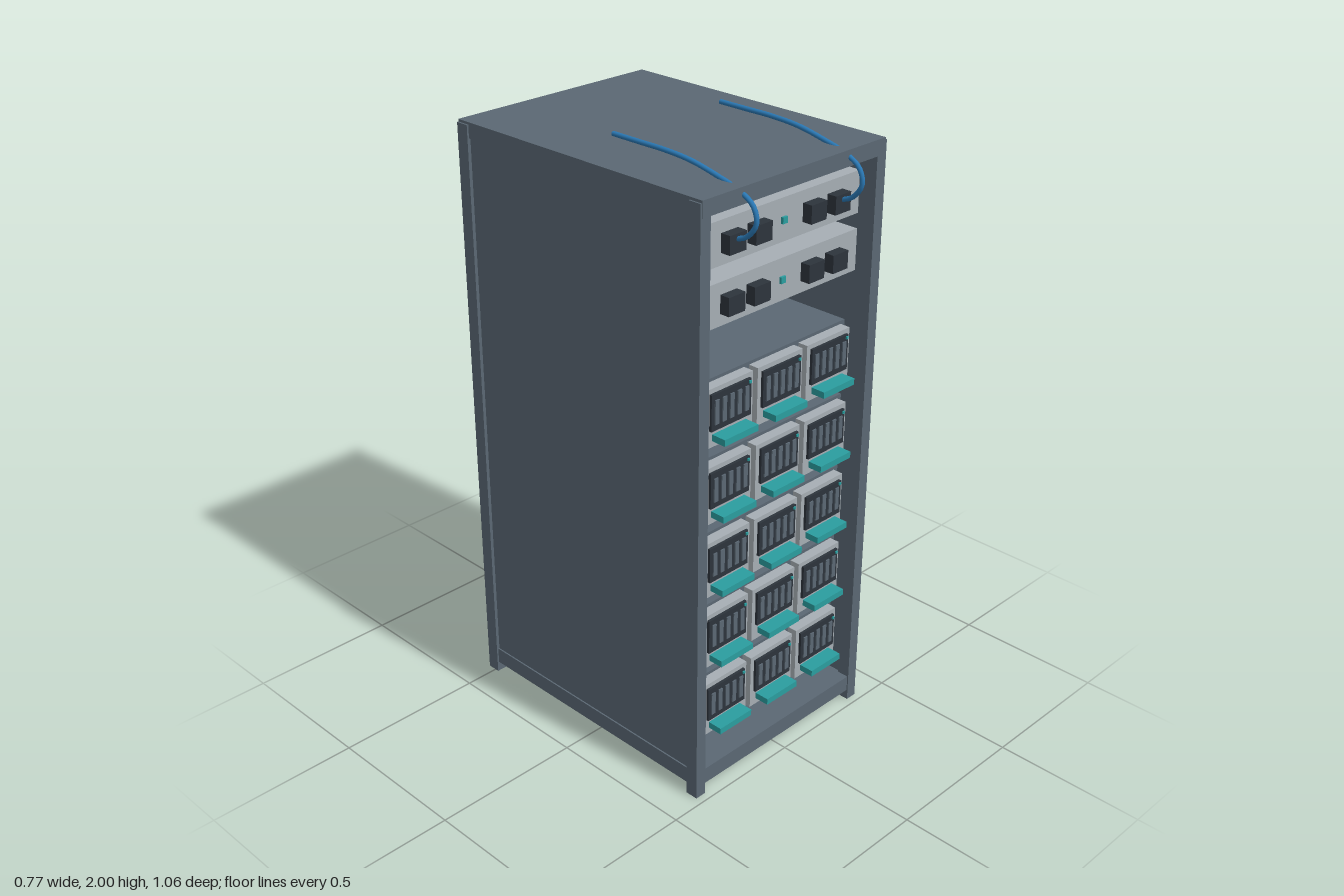
import * as THREE from 'three';

const mat = (name, color) => {
  const m = new THREE.MeshStandardMaterial({ color });
  m.name = name;
  return m;
};

export function createModel() {
  const slate = mat('slate metal', 0x5a6773);
  const light = mat('light grey metal', 0xa6aeb4);
  const dark = mat('dark plastic', 0x2d343c);
  const teal = mat('teal', 0x2a9d9f);
  const blue = mat('blue cable', 0x2a78b4);

  const model = new THREE.Group();
  model.name = 'equipmentRack';

  // Box given by its lower and upper limits on each axis
  const box = (parent, name, material, [x0, x1], [y0, y1], [z0, z1]) => {
    const mesh = new THREE.Mesh(new THREE.BoxGeometry(x1 - x0, y1 - y0, z1 - z0), material);
    mesh.position.set((x0 + x1) / 2, (y0 + y1) / 2, (z0 + z1) / 2);
    mesh.name = name;
    parent.add(mesh);
  };
  const group = (name, parent = model) => {
    const g = new THREE.Group();
    g.name = name;
    parent.add(g);
    return g;
  };
  const mirrored = (s, a, b) => (s > 0 ? [a, b] : [-b, -a]);

  // Cabinet shell
  const cabinet = group('cabinet');
  box(cabinet, 'topPanel', slate, [-0.378, 0.378], [1.91, 1.96], [-0.532, 0.475]);
  box(cabinet, 'basePanel', slate, [-0.37, 0.37], [0.035, 0.09], [-0.525, 0.47]);
  box(cabinet, 'backPanel', slate, [-0.345, 0.345], [0.09, 1.91], [-0.52, -0.5]);
  for (const s of [-1, 1]) {
    box(cabinet, 'sidePanel', slate, mirrored(s, 0.352, 0.373), [0.09, 1.91], [-0.49, 0.435]);
    box(cabinet, 'sideRail', slate, mirrored(s, 0.352, 0.378), [0.035, 0.09], [-0.49, 0.435]);
    for (const [z0, z1] of [[0.43, 0.474], [-0.531, -0.486]]) {
      box(cabinet, 'cornerPost', slate, mirrored(s, 0.345, 0.384), [0, 1.952], [z0, z1]);
    }
    for (const [z0, z1] of [[0.33, 0.415], [-0.465, -0.38]]) {
      box(cabinet, 'foot', dark, mirrored(s, 0.265, 0.35), [0.005, 0.036], [z0, z1]);
    }
  }

  // One module with vents, pull bar and status light
  const addModule = (parent, x, y) => {
    const m = group('module', parent);
    m.position.set(x, y, 0);
    box(m, 'moduleCase', light, [-0.097, 0.097], [0.01, 0.196], [-0.1, 0.43]);
    box(m, 'modulePanel', dark, [-0.082, 0.082], [0.065, 0.181], [0.43, 0.439]);
    for (let i = -2; i <= 2; i++) {
      box(m, 'vent', slate, [i * 0.031 - 0.008, i * 0.031 + 0.008], [0.085, 0.162], [0.439, 0.443]);
    }
    box(m, 'pullBar', teal, [-0.07, 0.07], [0.03, 0.051], [0.43, 0.48]);
    box(m, 'statusLight', teal, [0.07, 0.078], [0.168, 0.176], [0.439, 0.444]);
  };

  // Five trays, each carrying three modules
  for (let row = 0; row < 5; row++) {
    const y = 0.167 + row * 0.252;
    const tray = group('tray');
    box(tray, 'trayBody', slate, [-0.33, 0.33], [y, y + 0.206], [-0.45, 0.395]);
    for (const x of [-0.215, 0, 0.215]) addModule(tray, x, y);
  }

  // Two connection units with plugs
  for (const y of [1.55, 1.73]) {
    const unit = group('connectionUnit');
    box(unit, 'unitBody', light, [-0.33, 0.33], [y, y + 0.132], [-0.3, 0.425]);
    for (const x of [-0.22, -0.115, 0.115, 0.22]) {
      box(unit, 'plug', dark, [x - 0.033, x + 0.033], [y + 0.037, y + 0.094], [0.425, 0.458]);
    }
    box(unit, 'unitLight', teal, [-0.01, 0.01], [y + 0.056, y + 0.076], [0.425, 0.433]);
  }

  // Cables looping from the upper plugs over the roof
  for (const x of [-0.22, 0.22]) {
    const path = new THREE.CatmullRomCurve3([
      [1.805, 0.45], [1.822, 0.49], [1.868, 0.523], [1.915, 0.508], [1.945, 0.455],
      [1.964, 0.385], [1.985, 0.28], [1.992, 0.18], [1.992, 0.08], [1.992, -0.03],
    ].map(([y, z]) => new THREE.Vector3(x, y, z)));
    const cable = group('cable');
    const tube = new THREE.Mesh(new THREE.TubeGeometry(path, 48, 0.0075, 10), blue);
    tube.name = 'cableTube';
    cable.add(tube);
    const cap = new THREE.Mesh(new THREE.CircleGeometry(0.0075, 10), blue);
    cap.name = 'cableEnd';
    cap.position.set(x, 1.992, -0.03);
    cap.rotation.y = Math.PI;
    cable.add(cap);
  }

  return model;
}
